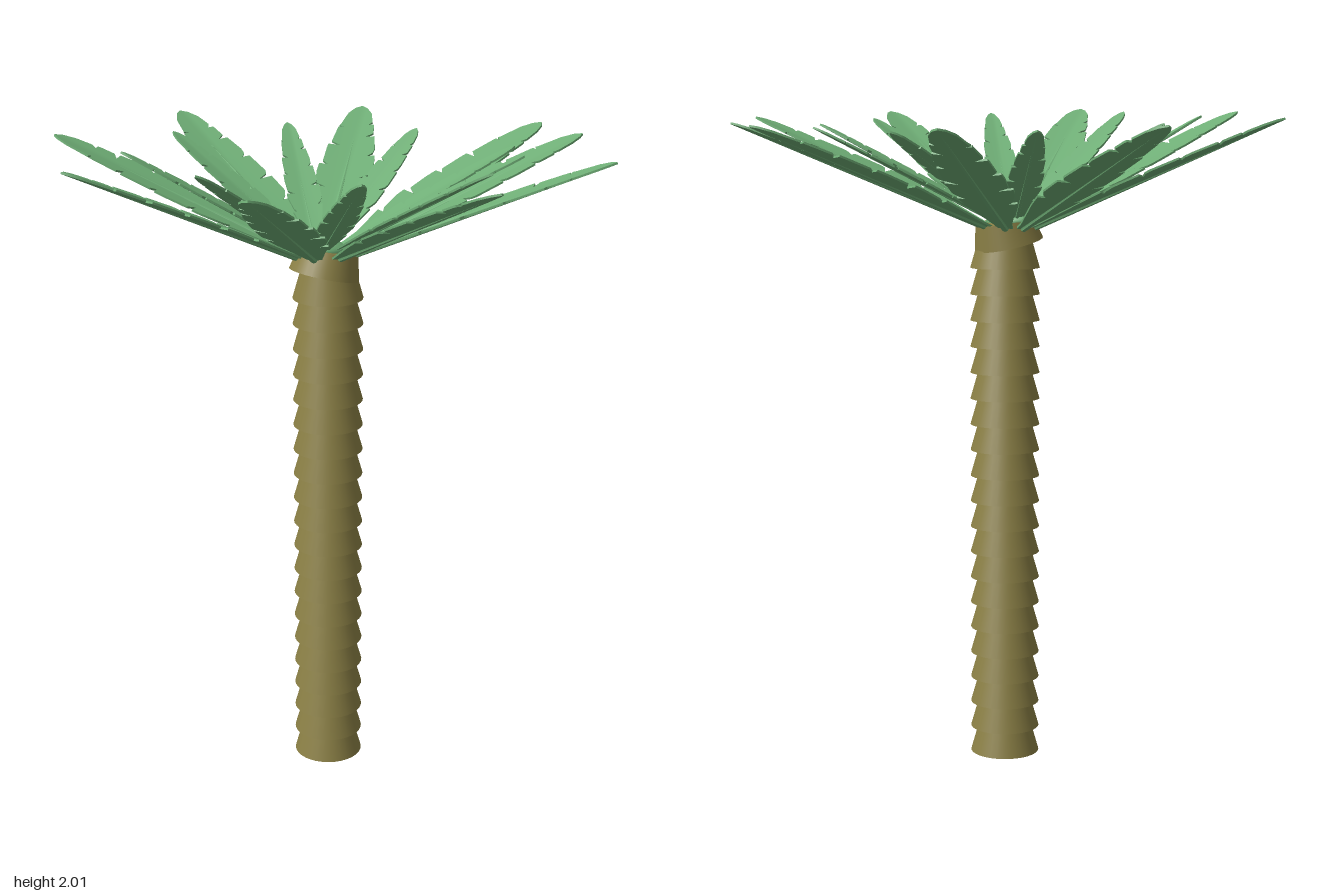
import * as THREE from 'three';
import { mergeGeometries, toCreasedNormals } from 'three/addons/utils/BufferGeometryUtils.js';

const barkMat = new THREE.MeshStandardMaterial({ color: 0x8a7f45, side: THREE.DoubleSide });
const leafMat = new THREE.MeshStandardMaterial({ color: 0x6fae76, side: THREE.DoubleSide });

// Half-width of a frond along its length (t, fraction of the maximum)
const PROFILE = [[0, 0.1], [0.13, 0.3], [0.3, 0.8], [0.42, 1], [0.55, 0.97], [0.7, 0.84], [0.85, 0.62], [0.94, 0.42], [0.98, 0.22], [1, 0]];
function widthAt(t) {
  const i = Math.max(1, PROFILE.findIndex((p) => p[0] >= t));
  const [a, b] = [PROFILE[i - 1], PROFILE[i]];
  return a[1] + (b[1] - a[1]) * (t - a[0]) / (b[0] - a[0]);
}

// One half of the blade, torn by narrow slits that lean towards the tip
function halfBlade(length, width, side) {
  const slits = side > 0 ? [0.33, 0.46, 0.6, 0.73, 0.85] : [0.38, 0.52, 0.66, 0.79, 0.87];
  const edge = PROFILE.map(([t, w]) => [t, w]);
  slits.forEach((t, i) => {
    const w = widthAt(t);
    edge.push([t - 0.008, w * 1.03], [t - 0.007, w * (i % 2 ? 0.55 : 0.72)], [t + 0.012, w * 0.92]);
  });
  edge.sort((a, b) => a[0] - b[0]);
  const points = [[0, 0], ...edge].map(([t, w]) => new THREE.Vector2(t * length, w * width * side));
  const geo = new THREE.ExtrudeGeometry(new THREE.Shape(points), { depth: 0.006, bevelEnabled: false });
  geo.rotateX(-Math.PI / 2);
  // Fold the blade up a little from the midrib
  const pos = geo.attributes.position;
  for (let i = 0; i < pos.count; i++) pos.setY(i, pos.getY(i) + 0.12 * Math.abs(pos.getZ(i)));
  geo.computeVertexNormals();
  return geo;
}

function frondGeometry(length, width) {
  const rib = new THREE.CylinderGeometry(0.002, width * 0.13, length * 0.97, 8).toNonIndexed();
  rib.rotateZ(-Math.PI / 2);
  rib.translate(length * 0.485, 0.002, 0);
  return toCreasedNormals(mergeGeometries([halfBlade(length, width, 1), halfBlade(length, width, -1), rib]), 0.6);
}

// Frond running from the crown centre to a tip
function frond(name, base, tip, width) {
  const along = tip.clone().sub(base);
  const length = along.length();
  along.normalize();
  const across = along.clone().cross(new THREE.Vector3(0, 1, 0)).normalize();
  const normal = across.clone().cross(along);
  const mesh = new THREE.Mesh(frondGeometry(length, width), leafMat);
  mesh.name = name;
  mesh.quaternion.setFromRotationMatrix(new THREE.Matrix4().makeBasis(along, normal, across));
  mesh.position.copy(base);
  return mesh;
}

export function createModel() {
  const model = new THREE.Group();
  model.name = 'palmTree';

  // Trunk: stacked flared rings
  const trunk = new THREE.Group();
  trunk.name = 'trunk';
  const step = 0.08;
  const ringGeo = new THREE.CylinderGeometry(0.083, 0.106, step, 32);
  for (let i = 0; i < 20; i++) {
    const ring = new THREE.Mesh(ringGeo, barkMat);
    ring.name = 'trunkRing';
    ring.position.set(-0.018, step * (i + 0.5), 0);
    trunk.add(ring);
  }
  // Tilted collar at the top
  const collar = new THREE.Mesh(new THREE.CylinderGeometry(0.088, 0.106, 0.075, 32), barkMat);
  collar.name = 'trunkCollar';
  collar.position.set(-0.022, 1.628, 0);
  collar.rotation.set(-0.08, 0, -0.22);
  trunk.add(collar);
  model.add(trunk);

  // Crown: rounded heart with an outer and an inner whorl of fronds
  const crown = new THREE.Group();
  crown.name = 'crown';
  const heart = new THREE.Mesh(new THREE.SphereGeometry(0.095, 32, 12, 0, Math.PI * 2, 0, Math.PI / 2), leafMat);
  heart.name = 'crownHeart';
  heart.scale.y = 0.35;
  heart.position.set(-0.052, 1.668, -0.024);
  heart.rotation.set(-0.06, 0, -0.1);
  crown.add(heart);

  // Frond tips as [x, z]; the crown leans slightly to the back and to +x
  const outerTips = [[-0.335, -0.8], [0.275, -0.795], [0.75, -0.35], [0.8, -0.11], [0.72, 0.4],
    [0.26, 0.79], [-0.39, 0.76], [-0.81, 0.27], [-0.775, -0.38]];
  const innerTips = [[-0.02, -0.595], [0.365, -0.43], [0.56, -0.03], [0.53, 0.155], [0.345, 0.445],
    [-0.055, 0.58], [-0.465, 0.39], [-0.615, -0.04], [-0.41, -0.43]];
  for (const [x, z] of outerTips) {
    const tip = new THREE.Vector3(x, 1.965 + 0.04 * z - 0.015 * x, z);
    crown.add(frond('outerFrond', new THREE.Vector3(-0.035, 1.61, -0.015), tip, 0.092));
  }
  for (const [x, z] of innerTips) {
    const tip = new THREE.Vector3(x, 1.955 + 0.05 * z - 0.03 * x, z);
    crown.add(frond('innerFrond', new THREE.Vector3(-0.042, 1.63, -0.02), tip, 0.052));
  }
  model.add(crown);
  return model;
}
